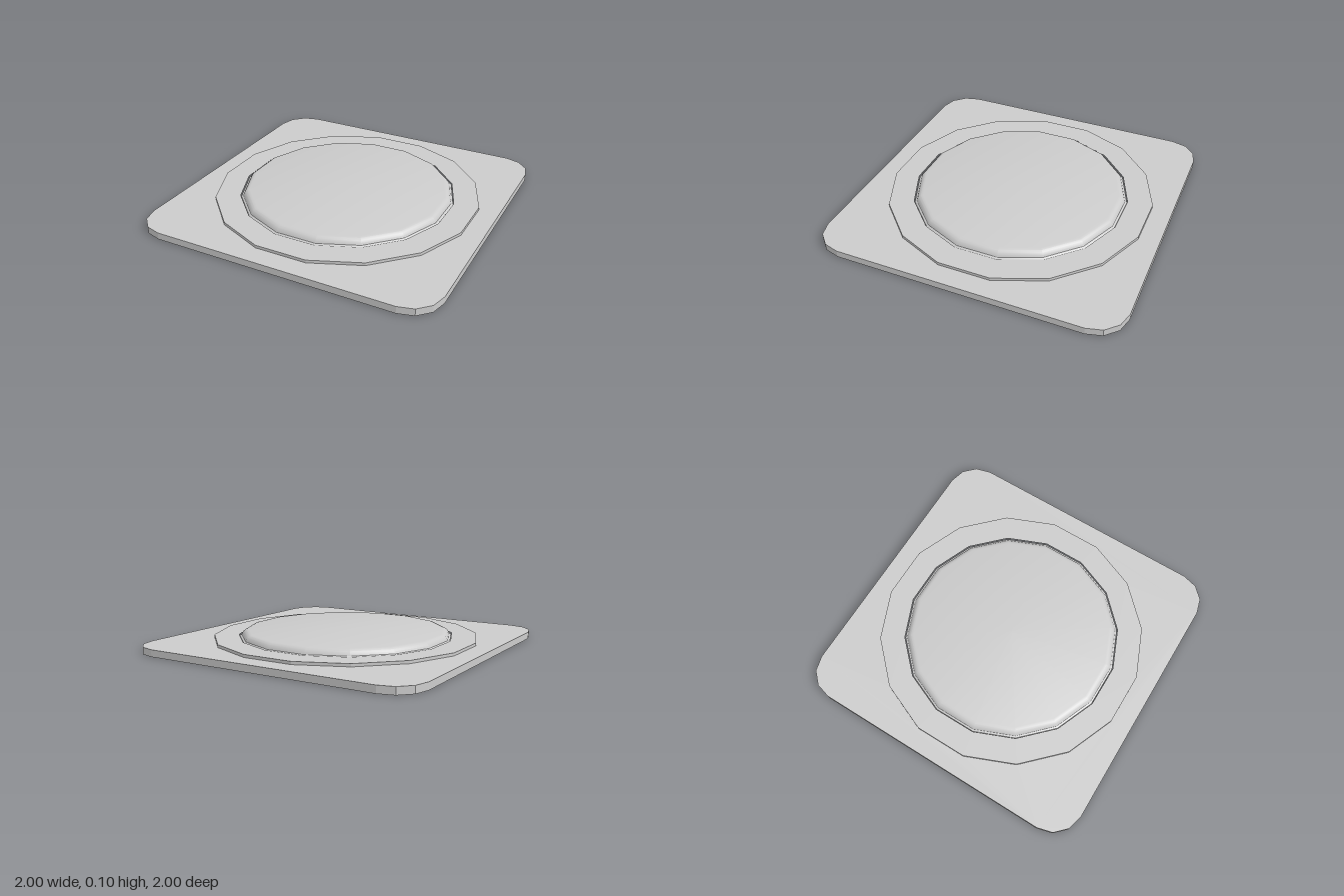
import * as THREE from 'three';
import { toCreasedNormals } from 'three/addons/utils/BufferGeometryUtils.js';

const SIDES = 16;
const PLATE_TOP = 0.046;
const RING_TOP = 0.065;
const RING_R = 0.866; // radii are measured to the flats
const toCorner = 1 / Math.cos(Math.PI / SIDES);

const flat = new THREE.MeshStandardMaterial({ color: 0xcccccc, flatShading: true, side: THREE.DoubleSide });
const creased = new THREE.MeshStandardMaterial({ color: 0xcccccc, side: THREE.DoubleSide });

function add(parent, name, geometry, material) {
  const mesh = new THREE.Mesh(geometry, material);
  mesh.name = name;
  parent.add(mesh);
  return mesh;
}

// Sixteen-sided turned form with its flats on the axes
function turned(profile) {
  const points = profile.map(([r, y]) => new THREE.Vector2(r * toCorner, y));
  return new THREE.LatheGeometry(points, SIDES, Math.PI / SIDES);
}

// Square outline, each corner rounded in three steps
function plateOutline() {
  const points = [];
  for (let corner = 0; corner < 4; corner++) {
    const mid = (corner + 0.5) * Math.PI / 2;
    const cx = 0.8 * Math.sign(Math.cos(mid));
    const cy = 0.8 * Math.sign(Math.sin(mid));
    for (let i = 0; i <= 3; i++) {
      const a = (corner + i / 3) * Math.PI / 2;
      points.push(new THREE.Vector2(cx + 0.2 * Math.cos(a), cy + 0.2 * Math.sin(a)));
    }
  }
  return points;
}

// Vertical wall around an outline, from y = 0 up to the given height
function skirt(outline, height) {
  const positions = [];
  outline.forEach((p, i) => {
    const q = outline[(i + 1) % outline.length];
    const a = [p.x, 0, -p.y], b = [q.x, 0, -q.y];
    const c = [q.x, height, -q.y], d = [p.x, height, -p.y];
    positions.push(...a, ...b, ...c, ...a, ...c, ...d);
  });
  const geometry = new THREE.BufferGeometry();
  geometry.setAttribute('position', new THREE.Float32BufferAttribute(positions, 3));
  geometry.computeVertexNormals();
  return geometry;
}

export function createModel() {
  const model = new THREE.Group();
  model.name = 'roundButtonPlate';

  // Base plate: a thin shell, open below, with an opening for the ring
  const outline = plateOutline();
  const shape = new THREE.Shape(outline);
  const opening = [];
  for (let i = 0; i < SIDES; i++) {
    const a = -(i + 0.5) * 2 * Math.PI / SIDES;
    opening.push(new THREE.Vector2(Math.cos(a), Math.sin(a)).multiplyScalar(RING_R * toCorner));
  }
  shape.holes.push(new THREE.Path(opening));
  const plate = new THREE.Group();
  plate.name = 'basePlate';
  model.add(plate);
  const top = new THREE.ShapeGeometry(shape).rotateX(-Math.PI / 2).translate(0, PLATE_TOP, 0);
  add(plate, 'plateTop', top, flat);
  add(plate, 'plateRim', skirt(outline, PLATE_TOP), flat);

  // Raised collar around the button, also open below
  add(model, 'collar', turned([[RING_R, PLATE_TOP], [RING_R, RING_TOP], [0.704, RING_TOP]]), flat);

  // Button: straight wall below the collar, rounded shoulder above it
  const profile = [
    [0, 0], [0.7, 0], [0.7, 0.058], [0.687, 0.066], [0.681, 0.08],
    [0.672, 0.092], [0.659, 0.101], [0.643, 0.105], [0, 0.105],
  ];
  add(model, 'button', toCreasedNormals(turned(profile), 0.37), creased);

  return model;
}
